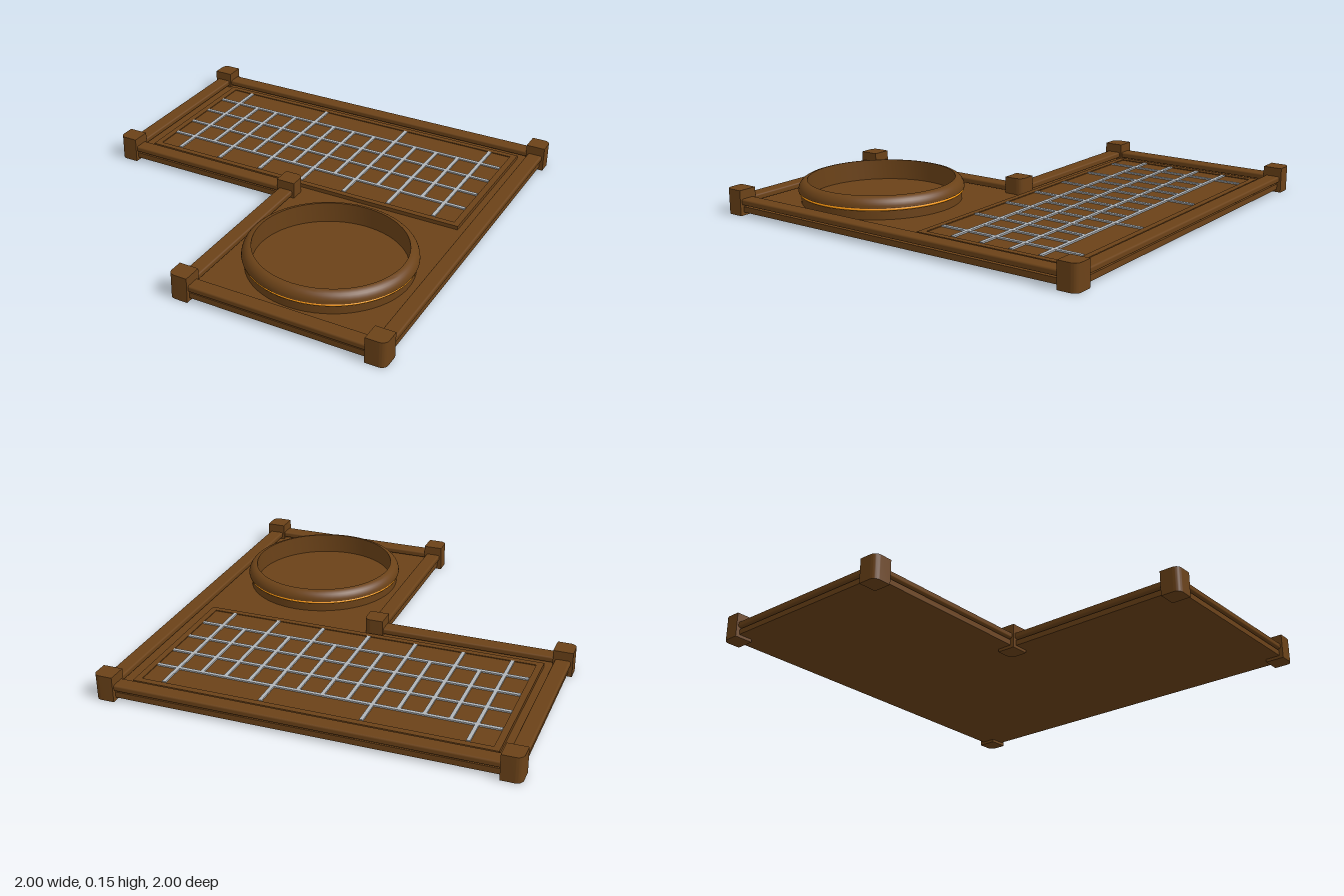
import * as THREE from 'three';
import { RoundedBoxGeometry } from 'three/addons/geometries/RoundedBoxGeometry.js';
import { toCreasedNormals } from 'three/addons/utils/BufferGeometryUtils.js';

const wood = new THREE.MeshStandardMaterial({ color: 0x6b4218 });
const grey = new THREE.MeshStandardMaterial({ color: 0xb0b4b8 });
const amber = new THREE.MeshStandardMaterial({ color: 0xff9a10 });

export function createModel() {
  const model = new THREE.Group();
  model.name = 'gameTable';

  const add = (name, geometry, material, x = 0, y = 0, z = 0, parent = model) => {
    const mesh = new THREE.Mesh(geometry, material);
    mesh.name = name;
    mesh.position.set(x, y, z);
    parent.add(mesh);
    return mesh;
  };

  // Upright extrusion of a plan drawn in x and z
  const slab = (shape, height) => {
    const g = new THREE.ExtrudeGeometry(shape, { depth: height, bevelEnabled: false, curveSegments: 6 });
    g.rotateX(-Math.PI / 2);
    return toCreasedNormals(g, 0.6);
  };
  const plan = (points) => new THREE.Shape(points.map(([x, z]) => new THREE.Vector2(x, -z)));

  // L-shaped base plate
  const outline = [[-0.98, -0.98], [0.98, -0.98], [0.98, 0.98], [-0.03, 0.98], [-0.03, 0.025], [-0.98, 0.025]];
  add('basePlate', slab(plan(outline), 0.028), wood, 0, 0.015, 0);

  // Raised rails between the corner posts
  const corners = [
    [-0.952, -0.952, -1, -1], [0.952, -0.952, 1, -1], [0.952, 0.952, 1, 1],
    [-0.003, 0.952, -1, 1], [-0.003, -0.005, 1, -1], [-0.952, -0.005, -1, 1],
  ];
  const rails = new THREE.Group();
  rails.name = 'rails';
  model.add(rails);
  corners.forEach(([x, z], i) => {
    const [x2, z2] = corners[(i + 1) % corners.length];
    const dx = Math.abs(x2 - x), dz = Math.abs(z2 - z);
    const g = new RoundedBoxGeometry(dx > dz ? dx : 0.075, 0.03, dx > dz ? 0.075 : dz, 3, 0.009);
    add('rail', g, wood, (x + x2) / 2, 0.066, (z + z2) / 2, rails);
  });

  // Corner posts, each with one rounded vertical edge
  const posts = new THREE.Group();
  posts.name = 'cornerPosts';
  model.add(posts);
  const h = 0.048, r = 0.032;
  corners.forEach(([x, z, sx, sz]) => {
    const s = new THREE.Shape();
    s.moveTo(-h, -h);
    s.lineTo(h, -h);
    s.lineTo(h, h - r);
    s.absarc(h - r, h - r, r, 0, Math.PI / 2, false);
    s.lineTo(-h, h);
    s.closePath();
    // Turn the rounded edge toward the direction (sx, sz)
    const g = slab(s, 0.125);
    g.rotateY(Math.atan2(-sz, sx) - Math.PI / 4);
    add('cornerPost', g, wood, x, 0, z, posts);
  });

  // Betting panel with a thin raised border
  const px = -0.002, pz = -0.48;
  add('bettingPanel', new THREE.BoxGeometry(1.72, 0.017, 0.8), wood, px, 0.0495, pz);
  const border = plan([[-0.868, -0.405], [0.868, -0.405], [0.868, 0.405], [-0.868, 0.405]]);
  border.holes.push(plan([[-0.837, -0.375], [-0.837, 0.375], [0.837, 0.375], [0.837, -0.375]]));
  add('panelBorder', slab(border, 0.02), wood, px, 0.042, pz);

  // Grid lines on the panel
  const grid = new THREE.Group();
  grid.name = 'gridLines';
  model.add(grid);
  const w = 0.018;
  for (const z of [-0.71, -0.557, -0.402, -0.248]) {
    add('rowLine', new THREE.BoxGeometry(1.67, 0.008, w), grey, -0.003, 0.061, z, grid);
  }
  for (let i = 0; i <= 12; i++) {
    const from = i % 4 === 0 ? -0.852 : -0.71;
    const to = i % 2 === 0 ? -0.107 : -0.248;
    add('columnLine', new THREE.BoxGeometry(w, 0.008, to - from), grey,
      -0.725 + i * 0.1208, 0.061, (from + to) / 2, grid);
  }

  // Round wheel bowl: quarter-round rim, straight inner wall
  const bowl = new THREE.Group();
  bowl.name = 'wheelBowl';
  bowl.position.set(0.475, 0, 0.475);
  model.add(bowl);
  const profile = [new THREE.Vector2(0.39, 0.04), new THREE.Vector2(0.39, 0.097), new THREE.Vector2(0.403, 0.1)];
  for (let i = 1; i <= 8; i++) {
    const a = (i / 8) * Math.PI / 2;
    profile.push(new THREE.Vector2(0.358 + 0.045 * Math.cos(a), 0.1 + 0.05 * Math.sin(a)));
  }
  profile.push(new THREE.Vector2(0.358, 0.04));
  const rimWood = wood.clone();
  rimWood.side = THREE.DoubleSide;
  add('bowlRim', toCreasedNormals(new THREE.LatheGeometry(profile, 64), 0.6), rimWood, 0, 0, 0, bowl);
  add('bowlFloor', new THREE.CylinderGeometry(0.36, 0.36, 0.008, 64), wood, 0, 0.045, 0, bowl);

  // Glowing strip under the rim
  const strip = new THREE.TorusGeometry(0.394, 0.007, 8, 64);
  strip.rotateX(Math.PI / 2);
  add('lightStrip', strip, amber, 0, 0.093, 0, bowl);

  return model;
}
